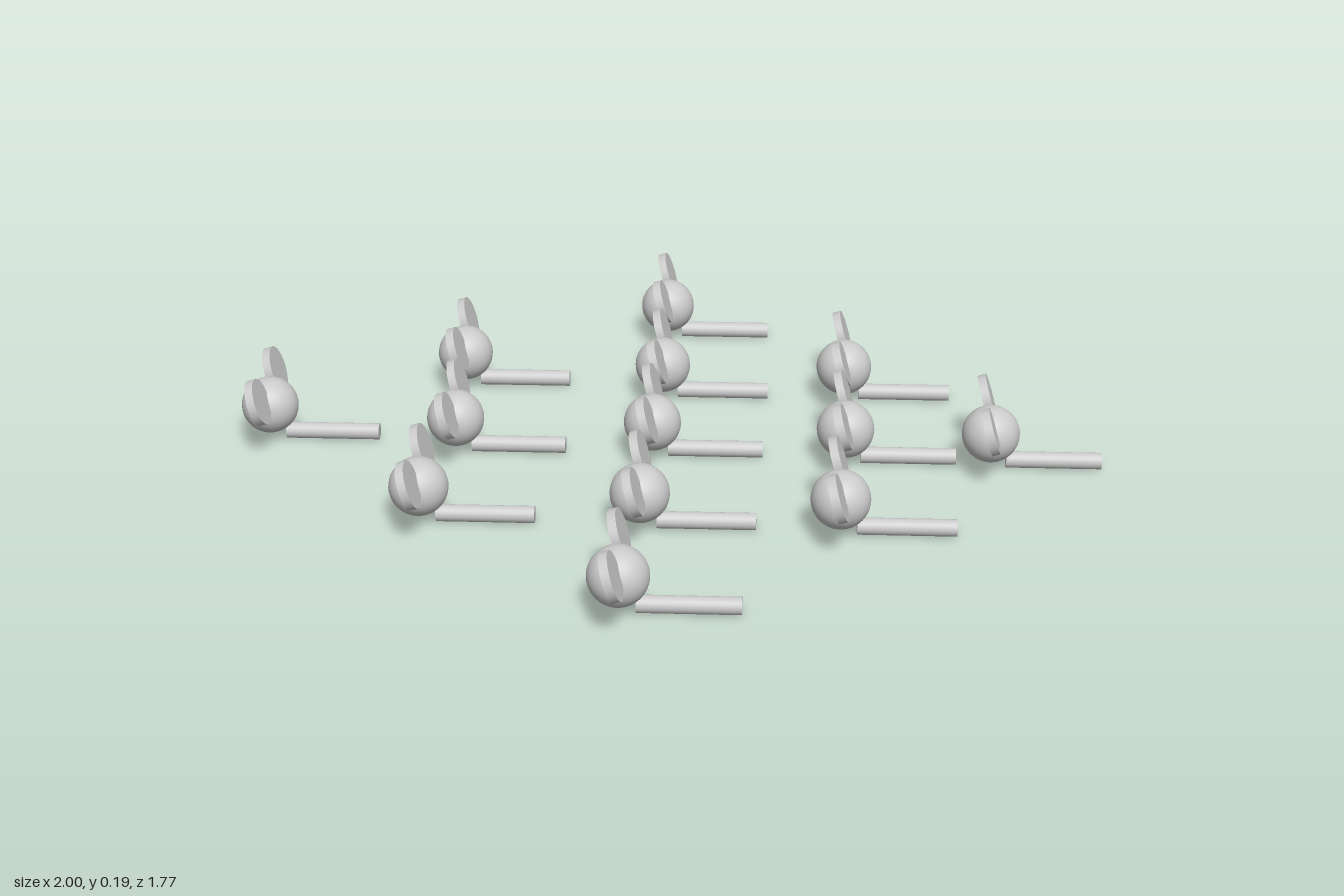
import * as THREE from 'three';

const material = new THREE.MeshStandardMaterial({ color: 0xcccccc });
const headGeometry = new THREE.SphereGeometry(0.066, 32, 24);
const earGeometry = new THREE.CylinderGeometry(0.054, 0.054, 0.019, 32);
const tailGeometry = new THREE.CylinderGeometry(0.019, 0.019, 0.218, 24);

// Head positions as [x, z]
const places = [
  [-0.048, -0.735],
  [-0.521, -0.396], [-0.034, -0.354], [0.404, -0.372],
  [-0.935, -0.056], [-0.491, -0.013], [-0.034, -0.02], [0.411, -0.013], [0.743, -0.012],
  [-0.521, 0.35], [-0.034, 0.35], [0.404, 0.35],
  [-0.048, 0.735],
];

function addPart(parent, name, geometry, x, y, z) {
  const mesh = new THREE.Mesh(geometry, material);
  mesh.name = name;
  mesh.position.set(x, y, z);
  parent.add(mesh);
  return mesh;
}

// One figure: round head, two disc ears and a rod tail lying on the ground
function createFigure() {
  const figure = new THREE.Group();
  addPart(figure, 'head', headGeometry, 0, 0.083, 0);
  for (const side of [-1, 1]) {
    const ear = addPart(figure, side < 0 ? 'backEar' : 'frontEar', earGeometry, -0.006, 0.131, side * 0.096);
    ear.rotation.z = -Math.PI / 2 + 0.3; // top leans towards -x
  }
  const tail = addPart(figure, 'tail', tailGeometry, 0.146, 0.019, -0.003);
  tail.rotation.set(0, 0.025, -Math.PI / 2, 'YXZ');
  return figure;
}

export function createModel() {
  const model = new THREE.Group();
  model.name = 'figureArrangement';
  places.forEach(([x, z], i) => {
    const figure = createFigure();
    figure.name = `figure${i + 1}`;
    figure.position.set(x, 0, z);
    model.add(figure);
  });
  return model;
}
